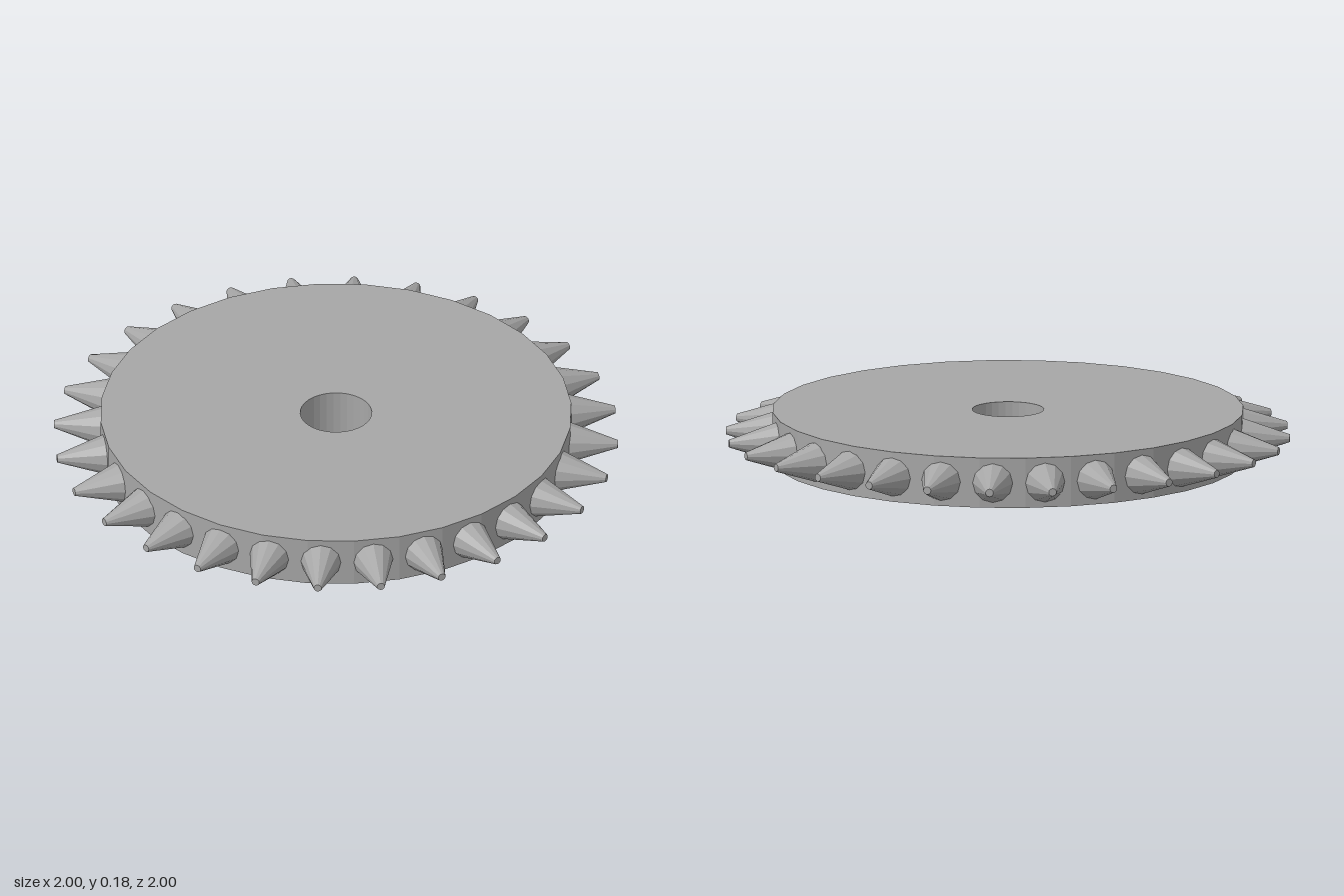
import * as THREE from 'three';

export function createModel() {
  const group = new THREE.Group();
  const steel = new THREE.MeshStandardMaterial({ color: 0xa6a6a6, flatShading: true });
  steel.name = 'grey steel';

  const height = 0.18, discRadius = 0.835, holeRadius = 0.127, sides = 32;

  // Ring of corner points for the faceted disc and its bore
  const ring = (radius) => Array.from({ length: sides }, (_, i) => {
    const a = (i / sides) * Math.PI * 2;
    return new THREE.Vector2(Math.cos(a) * radius, Math.sin(a) * radius);
  });

  // Flat disc with a central bore
  const outline = new THREE.Shape(ring(discRadius));
  outline.holes.push(new THREE.Path(ring(holeRadius).reverse()));
  const discGeometry = new THREE.ExtrudeGeometry(outline, { depth: height, bevelEnabled: false });
  discGeometry.rotateX(-Math.PI / 2);
  const disc = new THREE.Mesh(discGeometry, steel);
  disc.name = 'disc';
  group.add(disc);

  // Blunt conical spikes pointing outward, rooted just inside the rim
  const spikeCount = 28, root = 0.8, tip = 1;
  const spikeGeometry = new THREE.CylinderGeometry(0.014, 0.081, tip - root, 12);
  spikeGeometry.translate(0, (root + tip) / 2, 0);
  spikeGeometry.rotateX(Math.PI / 2);
  const spikes = new THREE.Group();
  spikes.name = 'spikes';
  for (let i = 0; i < spikeCount; i++) {
    const spike = new THREE.Mesh(spikeGeometry, steel);
    spike.name = 'spike';
    spike.position.y = 0.089;
    spike.rotation.y = (i / spikeCount) * Math.PI * 2;
    spikes.add(spike);
  }
  group.add(spikes);

  return group;
}
